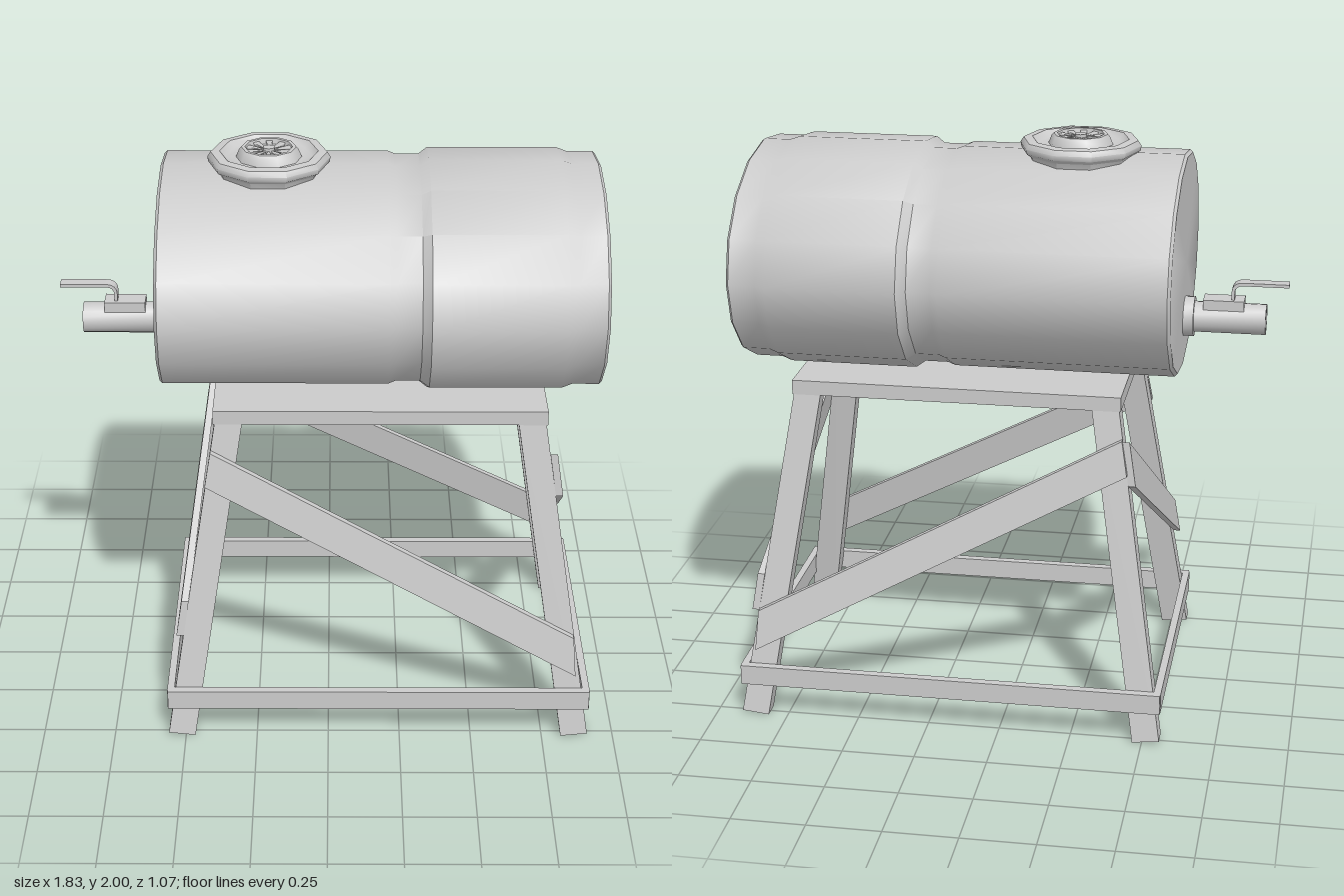
import * as THREE from 'three';
import { toCreasedNormals } from 'three/addons/utils/BufferGeometryUtils.js';
import { ConvexGeometry } from 'three/addons/geometries/ConvexGeometry.js';

const CX = 0.175; // stand centre on x
const HEIGHT = 1.135; // underside of the stand top
// Outer half-widths of the tapering stand at height y
const halfX = (y) => 0.735 - 0.154 * y;
const halfZ = (y) => 0.53 - 0.163 * y;

export function createModel() {
  const group = new THREE.Group();
  const material = new THREE.MeshStandardMaterial({ color: 0xcccccc });

  const add = (name, geometry, parent = group) => {
    const mesh = new THREE.Mesh(geometry, material);
    mesh.name = name;
    parent.add(mesh);
    return mesh;
  };
  const box = (name, w, h, d, x, y, z, parent) =>
    add(name, new THREE.BoxGeometry(w, h, d).translate(x, y, z), parent);
  const lathe = (profile, sides, start = 0) =>
    new THREE.LatheGeometry(profile.map((p) => new THREE.Vector2(...p)), sides, start);
  const convex = (name, points, parent) =>
    add(name, new ConvexGeometry(points.map((p) => new THREE.Vector3(...p))), parent);

  // Barrel: oval, lying along x, with a wider band and stepped ends
  const barrel = lathe([
    [0, -0.567], [0.975, -0.563], [1, -0.553], [1, 0.2], [0.975, 0.225], [0.975, 0.305],
    [1.033, 0.335], [1.033, 0.775], [1, 0.81], [1, 0.9], [0.975, 0.91], [0, 0.913],
  ], 16);
  barrel.rotateZ(-Math.PI / 2).scale(1, 0.375, 0.515);
  add('barrel', toCreasedNormals(barrel, 0.7)).position.y = 1.566;

  // Filler hatch with a rounded rim, recess and vented cap
  const hatch = new THREE.Group();
  hatch.name = 'hatch';
  hatch.position.set(-0.2, 0, 0);
  group.add(hatch);
  add('hatchRim', toCreasedNormals(lathe([
    [0.175, 1.89], [0.185, 1.935], [0.203, 1.948], [0.206, 1.965], [0.195, 1.982], [0.165, 1.985],
    [0.145, 1.965], [0.11, 1.965], [0.1, 1.99], [0.092, 2], [0.08, 2], [0.076, 1.982], [0, 1.982],
  ], 10, Math.PI / 2), 0.85), hatch);
  add('capHub', new THREE.CylinderGeometry(0.02, 0.02, 0.018, 10).translate(0, 1.99, 0), hatch);
  for (let i = 0; i < 10; i++) {
    const blade = new THREE.CylinderGeometry(0.016, 0.004, 0.06, 4, 1);
    blade.rotateY(Math.PI / 4).scale(1, 1, 0.5).rotateX(Math.PI / 2);
    blade.translate(0, 1.988, 0.047).rotateY((i * Math.PI) / 5);
    add('capSpoke', blade.toNonIndexed(), hatch);
  }

  // Tap: flange, hollow spout, valve block and bent lever
  const tap = new THREE.Group();
  tap.name = 'tap';
  group.add(tap);
  const spout = lathe([
    [0, -0.72], [0.038, -0.72], [0.038, -0.845], [0.053, -0.845],
    [0.053, -0.6], [0.069, -0.6], [0.069, -0.55],
  ], 16).rotateZ(-Math.PI / 2).translate(0, 1.375, 0);
  add('spout', toCreasedNormals(spout, 0.7), tap);
  box('valveBlock', 0.14, 0.05, 0.078, -0.7, 1.42, 0, tap);
  const lever = new THREE.Shape();
  lever.moveTo(-0.725, 1.44);
  lever.lineTo(-0.725, 1.47);
  lever.quadraticCurveTo(-0.725, 1.507, -0.765, 1.507);
  lever.lineTo(-0.92, 1.507);
  lever.lineTo(-0.92, 1.496);
  lever.lineTo(-0.765, 1.496);
  lever.quadraticCurveTo(-0.736, 1.496, -0.736, 1.47);
  lever.lineTo(-0.736, 1.44);
  const leverGeometry = new THREE.ExtrudeGeometry(lever, { depth: 0.045, bevelEnabled: false, curveSegments: 6 });
  add('lever', leverGeometry.translate(0, 0, -0.0225), tap);

  // Stand
  const stand = new THREE.Group();
  stand.name = 'stand';
  group.add(stand);
  box('standTop', 1.13, 0.05, 0.69, CX, 1.16, 0, stand);

  // Splayed legs, cut square to their length at the foot
  for (const sx of [-1, 1]) for (const sz of [-1, 1]) {
    const points = [];
    for (const y of [0, HEIGHT]) for (const dx of [0, 0.093]) for (const dz of [0, 0.065]) {
      const cut = y === 0 && dx === 0 ? 0.01 : 0;
      points.push([CX + sx * (halfX(y) - dx), y + cut, sz * (halfZ(y) - dz)]);
    }
    convex('leg', points, stand);
  }

  // Rails and diagonal braces on all four faces
  const longBrace = [[-0.4, 1.045], [-0.42, 0.925], [0.86, 0.24], [0.85, 0.38]];
  const shortBrace = [[0.375, 1.04], [0.385, 0.885], [-0.47, 0.375], [-0.455, 0.505]];
  const layers = [0, 0.025];
  for (const s of [-1, 1]) {
    box('longRail', 1.47, 0.07, 0.03, CX, 0.15, s * 0.52, stand);
    box('shortRail', 0.025, 0.07, 1.05, CX + s * 0.7245, 0.15, 0, stand);
    convex('longBrace', layers.flatMap((t) =>
      longBrace.map(([x, y]) => [x, y, s * (halfZ(y) + t)])), stand);
    convex('shortBrace', layers.flatMap((t) =>
      shortBrace.map(([z, y]) => [CX + s * (halfX(y) + t), y, s * z])), stand);
  }
  return group;
}
